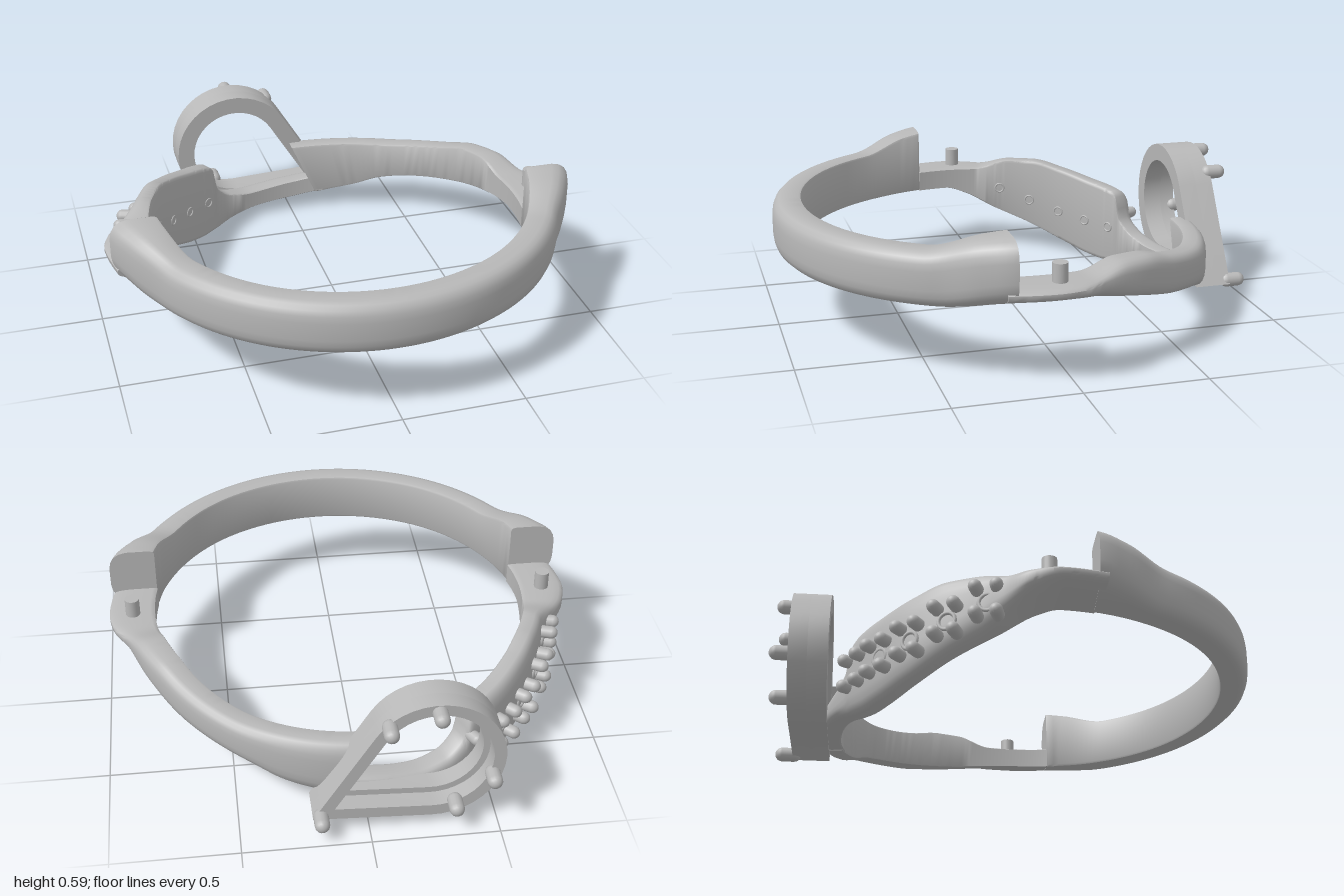
import * as THREE from 'three';
import { toCreasedNormals } from 'three/addons/utils/BufferGeometryUtils.js';

const CZ = 0.08, DEG = Math.PI / 180;
const metal = new THREE.MeshStandardMaterial({ color: 0xb8b8b8 });
metal.name = 'grey metal';

// Point on the ring: angle t in degrees, 0 = left side, 90 = back, 180 = right side
const ringPoint = (t, r, y) =>
  new THREE.Vector3(r * Math.cos(t * DEG), y, CZ - r * Math.sin(t * DEG));

// Smooth monotone interpolation through [t, value] keys
function track(keys) {
  const s = keys.slice(1).map((k, i) => (k[1] - keys[i][1]) / (k[0] - keys[i][0]));
  const m = keys.map((_, i) => {
    const a = s[i - 1], b = s[i];
    if (a === undefined || b === undefined) return 0;
    return a * b <= 0 ? 0 : (2 * a * b) / (a + b);
  });
  return (t) => {
    let i = 0;
    while (i < keys.length - 2 && t > keys[i + 1][0]) i++;
    const h = keys[i + 1][0] - keys[i][0];
    const q = Math.min(1, Math.max(0, (t - keys[i][0]) / h)), q2 = q * q, q3 = q2 * q;
    return (2 * q3 - 3 * q2 + 1) * keys[i][1] + (q3 - 2 * q2 + q) * h * m[i] +
      (3 * q2 - 2 * q3) * keys[i + 1][1] + (q3 - q2) * h * m[i + 1];
  };
}

// Inner radius, slightly tighter at the sides and along the stone-set arm
const inner = track([[-180, 0.782], [-150, 0.79], [-120, 0.798], [-60, 0.798], [-30, 0.79], [0, 0.782],
  [30, 0.787], [70, 0.798], [110, 0.797], [125, 0.785], [150, 0.78], [192, 0.782]]);

// Rounded band section: [radial share, height share]
const SECTION = [
  [0, 0.05], [0.03, 0.015], [0.1, 0], [0.6, 0], [0.77, 0.03], [0.9, 0.1], [0.97, 0.2], [1, 0.33],
  [1, 0.67], [0.97, 0.8], [0.9, 0.9], [0.77, 0.97], [0.6, 1], [0.1, 1], [0.03, 0.985], [0, 0.95],
];

// Lofts the section along an arc, with caps; lift chamfers the outer lower edge,
// shear slants the end, minZ trims the ends to a flat plane
function band(name, t0, t1, steps, { bottom, top, outer, lift, shear, minZ = -2 }) {
  const pos = [], idx = [], n = SECTION.length;
  for (let i = 0; i <= steps; i++) {
    const t = t0 + ((t1 - t0) * i) / steps;
    const lo = bottom(t), hi = top(t), rIn = inner(t), thick = outer(t) - rIn;
    for (const [u, v] of SECTION) {
      const y = lo + v * (hi - lo) + lift(t) * u * (1 - v);
      const p = ringPoint(t + (shear ? shear(t) * v : 0), rIn + u * thick, y);
      pos.push(p.x, p.y, Math.max(p.z, minZ));
    }
  }
  for (let i = 0; i < steps; i++) {
    for (let j = 0; j < n; j++) {
      const a = i * n + j, b = i * n + ((j + 1) % n), c = b + n, d = a + n;
      idx.push(a, c, b, a, d, c);
    }
  }
  for (let j = 1; j < n - 1; j++) {
    const e = steps * n;
    idx.push(0, j, j + 1, e, e + j + 1, e + j);
  }
  const g = new THREE.BufferGeometry();
  g.setAttribute('position', new THREE.Float32BufferAttribute(pos, 3));
  g.setIndex(idx);
  const mesh = new THREE.Mesh(toCreasedNormals(g, 0.7), metal);
  mesh.name = name;
  return mesh;
}

// Pear outline, inset by d
function pear(d) {
  const cx = -0.25, cy = 0.316, R = 0.27, L = 0.53;
  const axis = -27.7 * DEG, spread = Math.acos(R / L), pts = [];
  for (let i = 0; i <= 26; i++) {
    const a = axis + spread + ((2 * Math.PI - 2 * spread) * i) / 26;
    pts.push(new THREE.Vector2(cx + (R - d) * Math.cos(a), cy + (R - d) * Math.sin(a)));
  }
  const tip = L - (d * L) / R;
  pts.push(new THREE.Vector2(cx + tip * Math.cos(axis), cy + tip * Math.sin(axis)));
  return pts;
}

function bezelRing(name, inset, zBack, depth) {
  const shape = new THREE.Shape(pear(0));
  shape.holes.push(new THREE.Path(pear(inset)));
  const g = new THREE.ExtrudeGeometry(shape, { depth, bevelEnabled: false });
  const mesh = new THREE.Mesh(toCreasedNormals(g, 0.3), metal);
  mesh.name = name;
  mesh.position.z = zBack;
  return mesh;
}

// Rod from a to b with rounded ends
function rod(name, a, b, r) {
  const len = a.distanceTo(b);
  const mesh = new THREE.Mesh(new THREE.CapsuleGeometry(r, len - 2 * r, 5, 14), metal);
  mesh.name = name;
  mesh.position.copy(a).lerp(b, 0.5);
  mesh.quaternion.setFromUnitVectors(new THREE.Vector3(0, 1, 0), b.clone().sub(a).normalize());
  return mesh;
}

function rim(name, t, r, y, radius, tube) {
  const mesh = new THREE.Mesh(new THREE.TorusGeometry(radius, tube, 8, 20), metal);
  mesh.name = name;
  mesh.position.copy(ringPoint(t, r, y));
  mesh.rotation.y = (90 + t) * DEG;
  return mesh;
}

export function createModel() {
  const model = new THREE.Group();
  model.name = 'ring';

  // Front half of the band, rising to a flat-ended shoulder on each side
  model.add(band('frontBand', -171.3, -8.7, 96, {
    bottom: () => 0.305,
    top: track([[-171, 0.588], [-163, 0.574], [-148, 0.52], [-32, 0.52], [-17, 0.574], [-9, 0.588]]),
    outer: track([[-171, 0.975], [-163, 0.948], [-152, 0.914], [-130, 0.915], [-90, 0.92],
      [-50, 0.915], [-28, 0.914], [-17, 0.948], [-9, 0.975]]),
    lift: track([[-171, 0.05], [-152, 0], [-28, 0], [-9, 0.05]]),
    minZ: 0.235,
  }));

  // Left arm with its slanted end beside the setting
  model.add(band('leftArm', -11.5, 81.5, 64, {
    bottom: track([[-12, 0.305], [0, 0.305], [20, 0.275], [35, 0.24], [50, 0.2], [60, 0.165], [68, 0.12], [75, 0.095], [82, 0.078]]),
    top: track([[-12, 0.40], [9, 0.40], [20, 0.438], [28, 0.432], [38, 0.395], [48, 0.365], [60, 0.34], [82, 0.325]]),
    outer: track([[-12, 0.965], [0, 0.972], [6, 0.96], [13, 0.915], [20, 0.905], [40, 0.893], [82, 0.902]]),
    lift: track([[-12, 0.05], [5, 0.05], [25, 0.02], [40, 0]]),
    shear: track([[55, 0], [81.5, 8]]),
  }));

  // Right arm, cut away to a low strip under the setting
  model.add(band('rightArm', 79, 191.5, 150, {
    bottom: track([[79, 0.085], [90, 0.066], [104, 0.05], [112, 0.03], [120, 0.005], [124.5, 0], [130, 0.01],
      [140, 0.055], [151, 0.12], [165, 0.2], [175, 0.275], [182, 0.305], [192, 0.305]]),
    top: track([[79, 0.165], [90, 0.147], [104, 0.13], [112, 0.15], [116, 0.185], [118.4, 0.23], [119.3, 0.31],
      [121, 0.335], [132, 0.37], [142, 0.405], [152, 0.435], [160, 0.435], [171, 0.40], [192, 0.40]]),
    outer: track([[79, 0.885], [112, 0.89], [125, 0.88], [160, 0.868], [167, 0.9], [174, 0.955], [180, 0.972], [192, 0.965]]),
    lift: track([[140, 0], [155, 0.02], [175, 0.05], [192, 0.05]]),
  }));

  // Upright pins on the two side platforms
  for (const x of [-0.873, 0.873]) {
    const pin = new THREE.Mesh(new THREE.CylinderGeometry(0.03, 0.03, 0.1, 20), metal);
    pin.name = 'platformPin';
    pin.position.set(x, 0.425, 0.055);
    model.add(pin);
  }

  // Pear-shaped setting with an inner ledge and five claws
  const setting = new THREE.Group();
  setting.name = 'pearSetting';
  setting.add(bezelRing('settingRim', 0.048, -0.925, 0.075));
  setting.add(bezelRing('settingLedge', 0.074, -0.85, 0.08));
  for (const [x, y] of [[-0.07, 0.498], [-0.255, 0.553], [-0.47, 0.235], [-0.33, 0.108], [0.188, 0.08]]) {
    setting.add(rod('settingClaw', new THREE.Vector3(x, y, -0.89), new THREE.Vector3(x, y, -1), 0.03));
  }
  model.add(setting);

  // Small stone seats along the right arm, four beads each
  [[163, 0.3], [152.5, 0.245], [142, 0.2], [132, 0.175], [122.5, 0.165]].forEach(([t, y]) => {
    const seat = new THREE.Group();
    seat.name = 'stoneSeat';
    seat.add(rim('seatRim', t, 0.872, y, 0.034, 0.008));
    seat.add(rim('drillRim', t, inner(t), y, 0.02, 0.004));
    for (const dt of [-2.6, 2.6]) {
      for (const dy of [-0.055, 0.055]) {
        seat.add(rod('bead', ringPoint(t + dt, 0.84, y + dy), ringPoint(t + dt, 0.935, y + dy), 0.026));
      }
    }
    model.add(seat);
  });

  return model;
}
